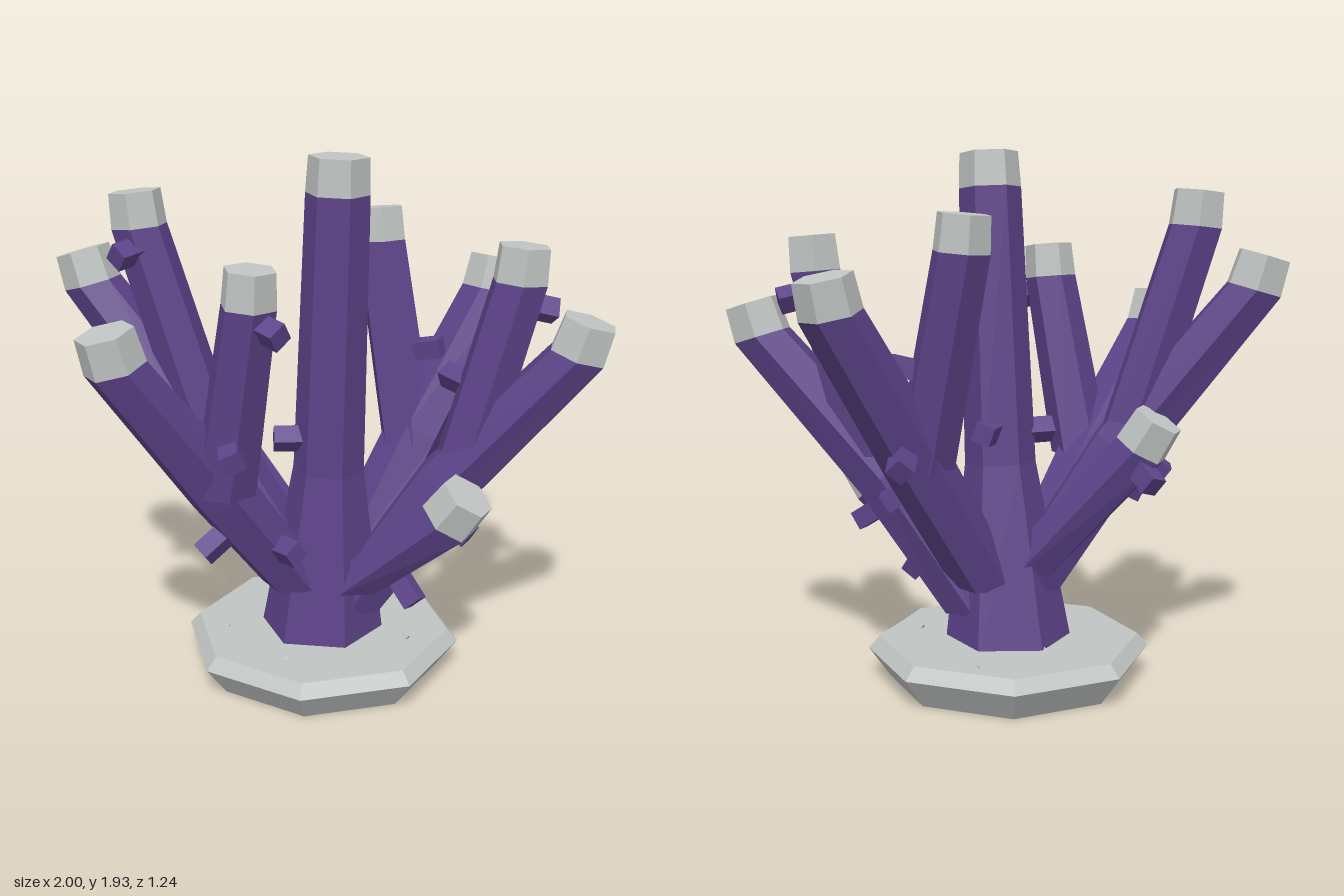
import * as THREE from 'three';

const V = (x, y, z) => new THREE.Vector3(x, y, z);
const UP = V(0, 1, 0);

const purple = new THREE.MeshStandardMaterial({ color: 0x5d4389, flatShading: true });
purple.name = 'purple coral';
const grey = new THREE.MeshStandardMaterial({ color: 0xbfc4c2, flatShading: true });
grey.name = 'pale grey';

// Closed six-sided loft: one radius and one ring normal per point
function hexLoft(points, radii, normals, side) {
  const rings = points.map((p, i) => {
    const u = side.clone().addScaledVector(normals[i], -side.dot(normals[i])).normalize();
    const v = normals[i].clone().cross(u);
    return Array.from({ length: 6 }, (_, k) => {
      const a = k * Math.PI / 3;
      return p.clone().addScaledVector(u, radii[i] * Math.cos(a)).addScaledVector(v, radii[i] * Math.sin(a));
    });
  });
  const tris = [];
  const last = points.length - 1;
  for (let k = 0; k < 6; k++) {
    const n = (k + 1) % 6;
    for (let i = 0; i < last; i++) {
      const [a, b, c, d] = [rings[i][k], rings[i][n], rings[i + 1][n], rings[i + 1][k]];
      tris.push(a, b, c, a, c, d);
    }
    tris.push(points[0], rings[0][n], rings[0][k], points[last], rings[last][k], rings[last][n]);
  }
  const geo = new THREE.BufferGeometry().setFromPoints(tris);
  geo.computeVertexNormals();
  return geo;
}

function addMesh(parent, geo, mat, name) {
  const m = new THREE.Mesh(geo, mat);
  m.name = name;
  parent.add(m);
  return m;
}

// Each branch: path from root to tip, radii, and how far its tip turns upward
const BRANCHES = [
  { name: 'trunk', path: [V(-0.015, 0.12, -0.01), V(0.015, 0.8, 0.02), V(0.055, 1.92, 0.06)], r: [0.235, 0.13, 0.105], lift: 0 },
  { name: 'rightArm', path: [V(-0.09, 0.34, 0), V(-0.42, 0.86, -0.03), V(-0.913, 1.555, -0.1)], r: [0.13, 0.118, 0.099], lift: 1.2 },
  { name: 'rightFork', path: [V(-0.43, 0.86, -0.03), V(-0.688, 1.78, -0.04)], r: [0.11, 0.094], lift: 1.8 },
  { name: 'frontArm', path: [V(-0.1, 0.36, 0.07), V(-0.33, 0.78, 0.27), V(-0.64, 1.4, 0.52)], r: [0.125, 0.118, 0.1], lift: 1.2 },
  { name: 'frontFork', path: [V(-0.31, 0.79, 0.3), V(-0.185, 1.595, 0.4)], r: [0.115, 0.09], lift: 1.2 },
  { name: 'backArm', path: [V(0.07, 0.36, -0.06), V(0.31, 0.85, -0.27), V(0.59, 1.49, -0.53)], r: [0.125, 0.118, 0.1], lift: 1.2 },
  { name: 'backFork', path: [V(0.285, 0.83, -0.26), V(0.145, 1.69, -0.41)], r: [0.11, 0.092], lift: 1.2 },
  { name: 'leftArm', path: [V(0.1, 0.25, 0), V(0.44, 0.76, 0.02), V(0.915, 1.385, 0.07)], r: [0.13, 0.118, 0.1], lift: 1.2 },
  { name: 'leftFork', path: [V(0.5, 0.84, 0.02), V(0.685, 1.625, 0)], r: [0.11, 0.094], lift: 1.8 },
  { name: 'lowLeftStub', path: [V(0.12, 0.36, 0.06), V(0.53, 0.79, 0.215)], r: [0.125, 0.1], lift: 0.3 },
  { name: 'lowRightStub', path: [V(-0.08, 0.41, -0.03), V(-0.53, 0.99, -0.22)], r: [0.125, 0.092], lift: 0.3 },
];

// Purple shaft rising from a level root, plus a pale tip
function addBranch(parent, { name, path, r, lift }) {
  const group = new THREE.Group();
  group.name = name;
  parent.add(group);
  const n = path.length - 1;
  const tip = path[n];
  const tipDir = tip.clone().sub(path[n - 1]).normalize().addScaledVector(UP, lift).normalize();
  const neck = tip.clone().addScaledVector(tipDir, -0.125);
  const neckR = r[n] + 0.007;
  const points = [...path.slice(0, n), neck];
  const normals = points.map((p, i) => {
    if (i === 0) return UP.clone();
    if (i === n) return tipDir;
    const before = p.clone().sub(points[i - 1]).normalize();
    return points[i + 1].clone().sub(p).normalize().add(before).normalize();
  });
  const heading = tip.clone().sub(path[0]).setY(0);
  const side = name === 'trunk' ? V(1, 0, 0) : UP.clone().cross(heading).normalize();
  addMesh(group, hexLoft(points, [...r.slice(0, n), neckR], normals, side), purple, name + 'Shaft');
  addMesh(group, hexLoft([neck, tip], [neckR, r[n]], [tipDir, tipDir], side), grey, name + 'Tip');
}

// Small block growing outward from the nearest branch
function addKnob(parent, p, index) {
  let best = { d: Infinity };
  for (const { path, r } of BRANCHES) {
    for (let i = 0; i < path.length - 1; i++) {
      const line = new THREE.Line3(path[i], path[i + 1]);
      const t = line.closestPointToPointParameter(p, true);
      const q = line.at(t, V(0, 0, 0));
      const radius = r[i] + (r[i + 1] - r[i]) * t;
      const d = q.distanceTo(p) - radius;
      if (d < best.d) best = { d, q, radius };
    }
  }
  const dir = p.clone().sub(best.q).normalize();
  const knob = addMesh(parent, new THREE.BoxGeometry(0.07, 0.13, 0.07), purple, 'knob' + (index + 1));
  knob.position.copy(best.q).addScaledVector(dir, best.radius + 0.01);
  knob.quaternion.setFromUnitVectors(UP, dir);
  knob.rotateY(index * 0.7);
}

export function createModel() {
  const model = new THREE.Group();
  model.name = 'branchingCoral';

  // Eight-sided stand with bevelled rim
  const profile = [[0, 0], [0.44, 0], [0.52, 0.11], [0.48, 0.155], [0, 0.155]];
  const stand = addMesh(model, new THREE.LatheGeometry(profile.map(([x, y]) => new THREE.Vector2(x, y)), 8), grey, 'stand');
  stand.position.set(-0.015, 0, -0.015);

  // Pebbles on the stand
  const pebbles = [[0.315, 0.08, 0.025], [-0.14, -0.23, 0.022], [-0.1, 0.3, 0.01], [-0.36, 0.08, 0.01], [0.1, -0.38, 0.01]];
  pebbles.forEach(([x, z, s], i) => {
    const pebble = addMesh(model, new THREE.TetrahedronGeometry(s), grey, 'pebble' + (i + 1));
    pebble.position.set(x, 0.157, z);
    pebble.rotation.set(i, i * 2, 0);
  });

  BRANCHES.forEach((b) => addBranch(model, b));

  // Knobs
  const knobs = [
    [-0.11, 1.4, 0.45], [-0.24, 0.97, 0.48], [-0.095, 0.56, 0.26], [0.29, 0.43, 0.14],
    [0.525, 0.585, 0.07], [-0.705, 1.57, 0.08], [-0.74, 1.21, 0.06], [-0.535, 0.8, -0.03],
    [-0.43, 0.72, 0.03], [-0.365, 0.575, 0.28], [0.35, 0.9, -0.37], [0.345, 1.18, -0.29],
    [0.4, 0.7, -0.11], [0.775, 1.4, -0.03], [0.46, 1.13, -0.07], [-0.125, 0.915, 0.06],
    [-0.5, 0.77, -0.3], [0.07, 0.93, -0.13],
  ];
  knobs.forEach((k, i) => addKnob(model, V(...k), i));

  return model;
}
